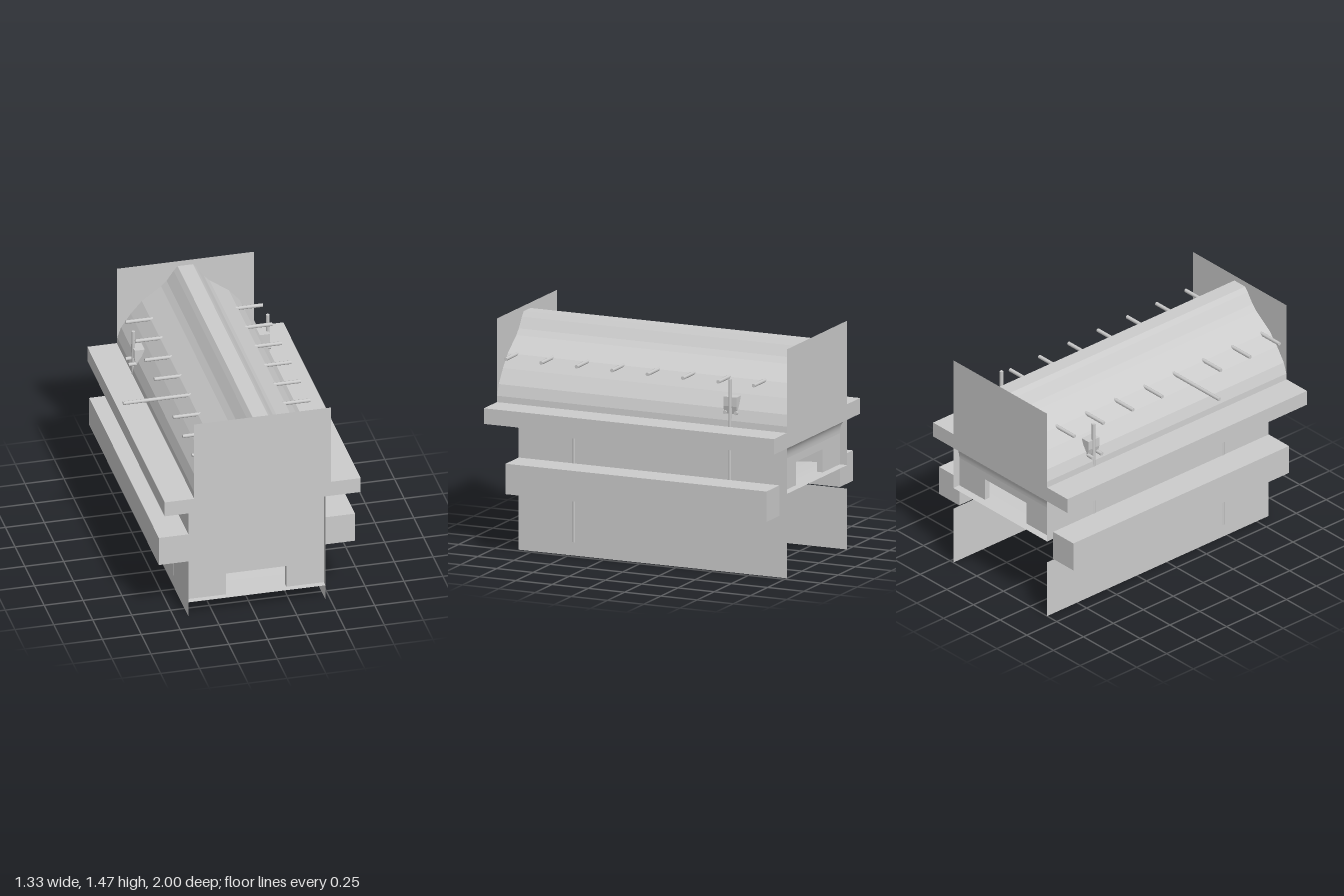
import * as THREE from 'three';

const L = -0.41, R = 0.47, MID = 0.03;
const solid = new THREE.MeshStandardMaterial({ color: 0xcccccc });
const thin = new THREE.MeshStandardMaterial({ color: 0xcccccc, side: THREE.DoubleSide });

// Thin sheet following a profile; place(a, b, t) puts a profile point at end t = 0 or 1
function sheet(points, place, flat) {
  const n = points.length;
  let geo = new THREE.PlaneGeometry(1, 1, n - 1, 1);
  const pos = geo.attributes.position;
  for (let t = 0; t < 2; t++) {
    points.forEach(([a, b], i) => pos.setXYZ(t * n + i, ...place(a, b, t)));
  }
  if (flat) geo = geo.toNonIndexed();
  geo.computeVertexNormals();
  return geo;
}

const outline = (pts) => new THREE.ShapeGeometry(new THREE.Shape(pts.map(([a, b]) => new THREE.Vector2(a, b))));

export function createModel() {
  const group = new THREE.Group();
  const add = (name, geo, mat = solid) => {
    const mesh = new THREE.Mesh(geo, mat);
    mesh.name = name;
    group.add(mesh);
    return mesh;
  };
  const box = (name, x0, x1, y0, y1, z0, z1) =>
    add(name, new THREE.BoxGeometry(x1 - x0, y1 - y0, z1 - z0))
      .position.set((x0 + x1) / 2, (y0 + y1) / 2, (z0 + z1) / 2);
  const acrossX = (a, b, t) => [t ? R : L, b, a];

  // Arched roof with a narrow flat ridge
  const half = [[0.44, 0.93], [0.437, 0.97], [0.413, 1.04], [0.35, 1.13], [0.28, 1.21],
    [0.155, 1.3], [0.12, 1.335], [0.075, 1.4], [0.05, 1.43]];
  const arch = [...half.map(([x, y]) => [MID - x, y]), ...half.map(([x, y]) => [MID + x, y]).reverse()];
  add('roof', sheet(arch, (a, b, t) => [a, b, t ? 1 : -1], true), thin);

  // Upright panels closing both ends of the roof
  for (const z of [-1, 1]) {
    add('endPanel', outline([[L, 0.83], [R, 0.83], [R, 1.465], [L, 1.465]]), thin).position.z = z;
  }

  // Side walls, notched at the rear where the beams run past
  const wall = [[0.85, 0], [0.85, 0.77], [0.87, 0.83], [-1, 0.83], [-1, 0.54],
    [-0.62, 0.54], [-0.62, 0.39], [-1, 0.39], [-1, 0]];
  for (const x of [L, R]) {
    add('sideWall', outline(wall).rotateY(-Math.PI / 2), thin).position.x = x;
  }

  // Ledges and lower beams along both sides
  for (const [x0, x1] of [[-0.6, L], [R, 0.66]]) {
    box('ledge', x0, x1, 0.83, 0.93, -1, 1);
    box('beam', x0, x1, 0.395, 0.59, -0.95, 0.85);
  }

  // Sloping S-shaped floor
  const floorCurve = new THREE.SplineCurve([[0.85, 0.1], [0.5, 0.11], [0.21, 0.16], [-0.05, 0.29],
    [-0.29, 0.43], [-0.55, 0.515], [-0.8, 0.54], [-1, 0.54]].map(([a, b]) => new THREE.Vector2(a, b)));
  add('floor', sheet(floorCurve.getPoints(40).map((p) => [p.x, p.y]), acrossX), thin);

  // Recessed end plates, each with an opening at the floor and a top that curls outwards
  const openL = -0.16, openR = 0.23;
  const ends = [
    { name: 'front', z: 0.81, y: 0.1, s: 1, lip: 1 },
    { name: 'rear', z: -0.95, y: 0.54, s: -1, lip: -1 },
  ];
  for (const { name, z, y, s, lip } of ends) {
    const top = y + 0.15;
    add(name + 'Plate', outline([[L, y], [openL, y], [openL, top], [openR, top], [openR, y],
      [R, y], [R, 0.74], [L, 0.74]]), thin).position.z = z;
    const curl = [];
    for (let i = 0; i <= 8; i++) {
      const a = (i / 8) * Math.PI / 2;
      curl.push([z + s * 0.05 * (1 - Math.cos(a)), 0.74 + 0.09 * Math.sin(a)]);
    }
    curl.push([lip, 0.83]);
    add(name + 'Curl', sheet(curl, acrossX), thin);
    // Short sleeve lining the opening
    const sleeve = [[openL, y], [openL, top], [openR, top], [openR, y]];
    add(name + 'Sleeve', sheet(sleeve, (a, b, t) => [a, b, z - s * 0.04 * t], true), thin);
  }

  // Rows of pegs through the roof, one of them long
  const peg = (x0, x1, y, z) => {
    const mesh = add('peg', new THREE.CylinderGeometry(0.012, 0.012, x1 - x0, 8));
    mesh.rotation.z = Math.PI / 2;
    mesh.position.set((x0 + x1) / 2, y, z);
  };
  for (let i = 0; i < 8; i++) {
    const z = 0.94 - i * 0.2443;
    peg(0.29, R, 1.21, z);
    peg(i === 3 ? -0.67 : L, -0.23, 1.21, z);
  }

  // Upright rods and wedge brackets on both sides
  const rod = (x, z, y0, y1) => {
    add('rod', new THREE.CylinderGeometry(0.012, 0.012, y1 - y0, 8)).position.set(x, (y0 + y1) / 2, z);
  };
  for (const s of [-1, 1]) {
    const x = MID + s * 0.432;
    rod(x, -0.605, 0.55, 1.235);
    rod(x, 0.47, 0.085, 0.75);
    const wedge = new THREE.Shape([[0.37, 1.12], [0.435, 1.12], [0.435, 1.06], [0.42, 1.0]]
      .map(([a, b]) => new THREE.Vector2(MID + s * a, b)));
    add('bracket', new THREE.ExtrudeGeometry(wedge, { depth: 0.09, bevelEnabled: false })).position.z = -0.65;
    for (const z of [-0.57, -0.645]) peg(x - 0.04, x + 0.008, 1.02, z);
  }
  return group;
}
